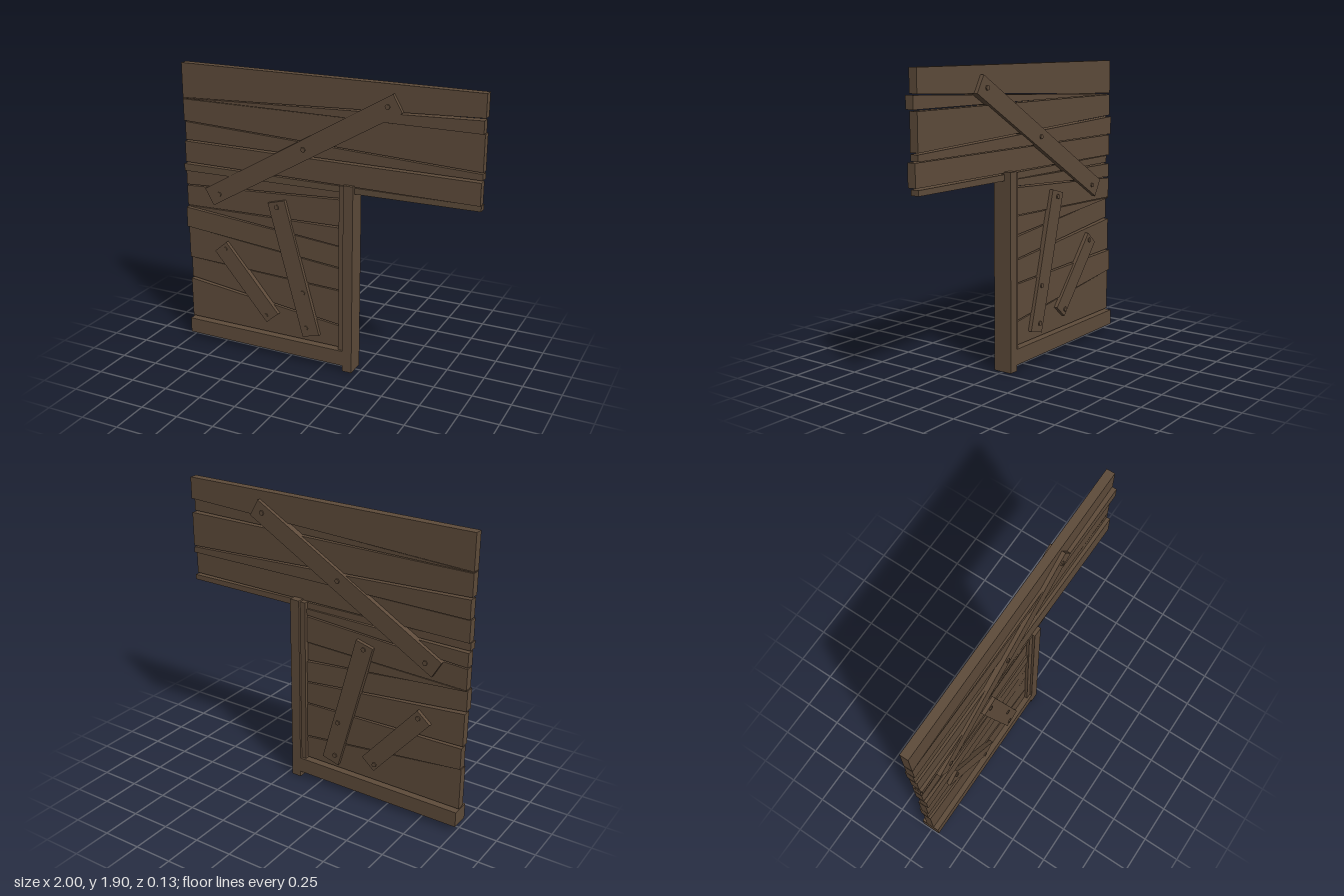
import * as THREE from 'three';

export function createModel() {
  const group = new THREE.Group();
  const wood = new THREE.MeshStandardMaterial({ color: 0x5e4b3a });
  wood.name = 'weathered brown wood';

  const add = (name, geometry, x = 0, y = 0, z = 0, turn = 0) => {
    const mesh = new THREE.Mesh(geometry, wood);
    mesh.name = name;
    mesh.position.set(x, y, z);
    mesh.rotation.z = turn;
    group.add(mesh);
    return mesh;
  };
  const box = (name, x0, x1, y0, y1, depth) =>
    add(name, new THREE.BoxGeometry(x1 - x0, y1 - y0, depth), (x0 + x1) / 2, (y0 + y1) / 2);

  // Tapered plank: bottom and top heights at each end, depth centre at each end
  const plank = (name, x1, [leftLow, leftHigh, rightLow, rightHigh, zLeft, zRight]) => {
    const geometry = new THREE.BoxGeometry(1, 1, 0.055);
    const p = geometry.attributes.position;
    for (let i = 0; i < p.count; i++) {
      const right = p.getX(i) > 0;
      const high = p.getY(i) > 0;
      const y = right ? (high ? rightHigh : rightLow) : (high ? leftHigh : leftLow);
      p.setXYZ(i, right ? x1 : -1, y, p.getZ(i) + (right ? zRight : zLeft));
    }
    geometry.computeVertexNormals();
    add(name, geometry);
  };

  // Full-width planks above the opening
  [
    [1.676, 1.9, 1.76, 1.9, 0, 0],
    [1.67, 1.673, 1.674, 1.752, 0, 0.028],
    [1.526, 1.667, 1.444, 1.667, 0, 0],
    [1.397, 1.516, 1.397, 1.435, -0.012, 0],
    [1.25, 1.389, 1.25, 1.389, 0, 0.022],
    [1.195, 1.243, 1.21, 1.243, 0.02, 0],
  ].forEach((p) => plank('upperPlank', 1, p));

  // Short planks beside the opening
  [
    [1.096, 1.188, 1.162, 1.203, 0, 0],
    [0.953, 1.088, 0.979, 1.152, 0, 0],
    [0.946, 0.949, 0.848, 0.971, 0, 0.01],
    [0.807, 0.942, 0.7, 0.84, 0.02, 0],
    [0.583, 0.798, 0.549, 0.692, 0, 0],
    [0.434, 0.575, 0.305, 0.541, -0.015, 0],
    [0.149, 0.425, 0.149, 0.296, 0, 0],
  ].forEach((p) => plank('lowerPlank', 0.13, p));

  // Frame around the opening
  box('bottomBeam', -1, 0.15, 0.038, 0.14, 0.124);
  box('doorPost', 0.145, 0.21, 0, 1.258, 0.126);
  box('postTrim', 0.11, 0.146, 0.138, 1.248, 0.094);

  // Diagonal braces clamp both faces, with bolts passing through
  const brace = (x0, y0, x1, y1, width, bolts) => {
    const angle = Math.atan2(y1 - y0, x1 - x0);
    add('brace', new THREE.BoxGeometry(Math.hypot(x1 - x0, y1 - y0), width, 0.104),
      (x0 + x1) / 2, (y0 + y1) / 2, 0, angle);
    for (const [x, y] of bolts) {
      const bolt = new THREE.CylinderGeometry(0.016, 0.016, 0.12, 6).toNonIndexed();
      bolt.rotateX(Math.PI / 2);
      bolt.computeVertexNormals();
      add('bolt', bolt, x, y, 0, angle);
    }
  };
  brace(-0.815, 1.042, 0.481, 1.794, 0.122, [[-0.74, 1.07], [-0.13, 1.445], [0.42, 1.77]]);
  brace(-0.325, 1.08, -0.085, 0.195, 0.122, [[-0.32, 1.045], [-0.14, 0.49], [-0.12, 0.245]]);
  brace(-0.745, 0.707, -0.367, 0.265, 0.115, [[-0.71, 0.695], [-0.415, 0.275]]);

  return group;
}
